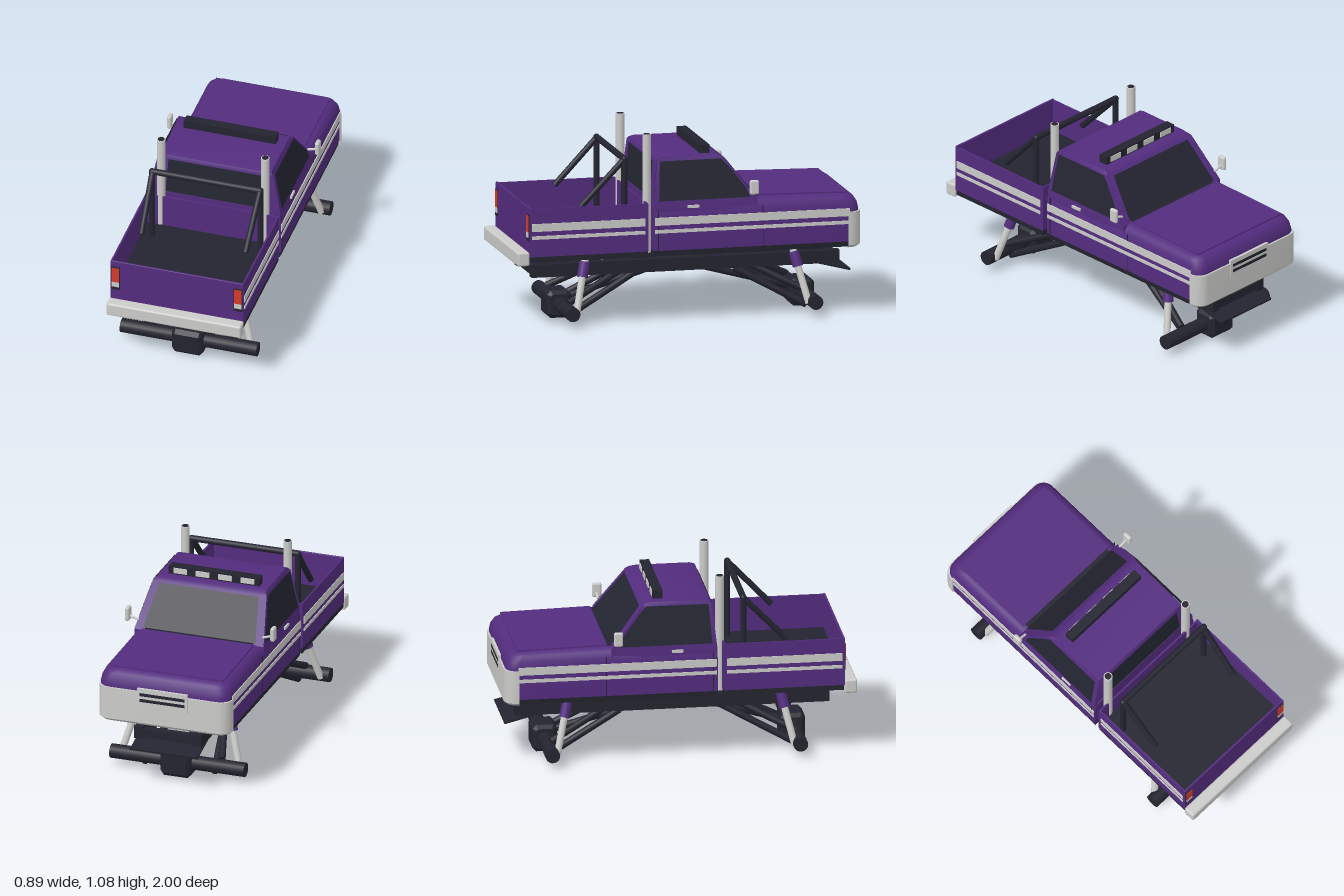
import * as THREE from 'three';
import { toCreasedNormals } from 'three/addons/utils/BufferGeometryUtils.js';
import { RoundedBoxGeometry } from 'three/addons/geometries/RoundedBoxGeometry.js';

const mat = (name, color) => Object.assign(new THREE.MeshStandardMaterial({ color }), { name });

export function createModel() {
  const root = new THREE.Group();
  root.name = 'pickupTruck';
  const purple = mat('purplePaint', 0x532c7e);
  const dark = mat('darkTrim', 0x242430);
  const silver = mat('silver', 0xcbcbc9);
  const red = mat('redLens', 0xd23c2c);
  const glass = mat('darkGlass', 0x232531);
  glass.side = THREE.DoubleSide;

  const add = (name, geo, m) => {
    const mesh = new THREE.Mesh(geo, m);
    mesh.name = name;
    root.add(mesh);
    return mesh;
  };
  // Box from its minimum and maximum on each axis
  const box = (name, m, x0, x1, y0, y1, z0, z1, r = 0) => {
    const s = [x1 - x0, y1 - y0, z1 - z0];
    const g = r ? new RoundedBoxGeometry(...s, 3, r) : new THREE.BoxGeometry(...s);
    g.translate((x0 + x1) / 2, (y0 + y1) / 2, (z0 + z1) / 2);
    return add(name, g, m);
  };
  // Round bar between two points
  const bar = (name, m, a, b, r, open = false) => {
    const p = new THREE.Vector3(...a), q = new THREE.Vector3(...b);
    const mesh = add(name, new THREE.CylinderGeometry(r, r, p.distanceTo(q), 18, 1, open), m);
    mesh.position.copy(p).lerp(q, 0.5);
    mesh.quaternion.setFromUnitVectors(new THREE.Vector3(0, 1, 0), q.sub(p).normalize());
    return mesh;
  };
  const quad = (name, m, pts) => {
    const g = new THREE.BufferGeometry();
    g.setAttribute('position', new THREE.Float32BufferAttribute(pts.flat(), 3));
    g.setIndex([0, 1, 2, 0, 2, 3]);
    g.computeVertexNormals();
    return add(name, g, m);
  };

  // Nose-rounded plan outline, inset at the sides and front
  const outline = (w, back, front, r) => {
    const half = [[w, back]];
    for (let i = 0; i <= 6; i++) {
      const t = (i / 6) * Math.PI / 2;
      half.push([w - r + r * Math.cos(t), front + r - r * Math.sin(t)]);
    }
    return [...half, ...half.slice().reverse().map(([x, z]) => [-x, z])];
  };
  // Stack of outlines; each level is [y, inset]
  const loft = (name, m, levels, w, back, front, slope = 0) => {
    const rings = levels.map(([, i]) => outline(w - i, back, front + i * 1.25, 0.07));
    const n = rings[0].length, pos = [], idx = [];
    rings.forEach((ring, k) => ring.forEach(([x, z]) => {
      const drop = levels[k][0] > 0.64 ? slope * Math.max(0, (-z - 0.4) / 0.55) : 0;
      pos.push(x, levels[k][0] - drop, z);
    }));
    for (let k = 0; k < rings.length - 1; k++) {
      for (let i = 0; i < n; i++) {
        const a = k * n + i, b = k * n + (i + 1) % n;
        idx.push(a, b, b + n, a, b + n, a + n);
      }
    }
    const top = (rings.length - 1) * n;
    for (let i = 1; i < n - 1; i++) idx.push(top, top + i, top + i + 1, 0, i + 1, i);
    const g = new THREE.BufferGeometry();
    g.setAttribute('position', new THREE.Float32BufferAttribute(pos, 3));
    g.setIndex(idx);
    return add(name, toCreasedNormals(g, 0.6), m);
  };

  // Lower cab, hood, sill and front bumper
  loft('cabBody', purple, [[0.42, 0], [0.6, 0], [0.65, 0.006], [0.68, 0.02], [0.695, 0.04], [0.7, 0.055]], 0.39, 0.21, -0.985, 0.012);
  loft('cabSill', dark, [[0.39, 0.006], [0.425, 0.002]], 0.39, 0.21, -0.985);
  loft('frontBumper', silver, [[0.385, 0.012], [0.4, 0], [0.59, 0]], 0.396, -0.915, -0.995);
  const hood = box('hoodPanel', purple, -0.335, 0.335, -0.004, 0.004, -0.255, 0.255);
  hood.position.set(0, 0.697, -0.665);
  hood.rotation.x = -0.022;
  hood.geometry.center();
  box('grillePanel', silver, -0.15, 0.15, 0.5, 0.61, -0.999, -0.97);
  for (const y of [0.54, 0.575]) box('grilleSlot', dark, -0.135, 0.135, y - 0.009, y + 0.009, -1, -0.99);

  // Tapered upper cab
  const widthAt = (y) => 0.385 - 0.05 * THREE.MathUtils.clamp((y - 0.69) / 0.25, 0, 1);
  const profile = (pts) => new THREE.Shape(pts.map(([z, y]) => new THREE.Vector2(-z, y)));
  const cab = new THREE.ExtrudeGeometry(profile([
    [0.208, 0.62], [0.206, 0.69], [0.186, 0.92], [0.178, 0.935], [0.15, 0.942],
    [-0.16, 0.942], [-0.19, 0.937], [-0.21, 0.922], [-0.39, 0.69], [-0.39, 0.62],
  ]), { depth: 2, bevelEnabled: false });
  cab.translate(0, 0, -1).rotateY(Math.PI / 2);
  const cp = cab.attributes.position;
  for (let i = 0; i < cp.count; i++) {
    const y = cp.getY(i);
    cp.setX(i, Math.sign(cp.getX(i)) * (widthAt(y) - (y > 0.93 ? 0.012 : 0)));
  }
  add('upperCab', toCreasedNormals(cab, 0.6), purple);

  // Windows
  quad('windshield', glass, [[-0.335, 0.703, -0.387], [-0.295, 0.915, -0.222], [0.295, 0.915, -0.222], [0.335, 0.703, -0.387]]);
  box('cowl', dark, -0.32, 0.32, 0.69, 0.704, -0.412, -0.38);
  quad('rearWindow', glass, [[-0.285, 0.705, 0.209], [0.285, 0.705, 0.209], [0.275, 0.915, 0.191], [-0.275, 0.915, 0.191]]);
  for (const s of [1, -1]) {
    const g = new THREE.ShapeGeometry(profile([[0.18, 0.702], [0.165, 0.922], [-0.19, 0.922], [-0.225, 0.885], [-0.325, 0.755], [-0.345, 0.702]]));
    g.rotateY(Math.PI / 2);
    const p = g.attributes.position;
    for (let i = 0; i < p.count; i++) p.setX(i, s * (widthAt(p.getY(i)) + 0.004));
    g.computeVertexNormals();
    add('sideWindow', g, glass);
  }

  // Roof light bar
  box('lightBar', dark, -0.27, 0.27, 0.94, 0.99, -0.14, -0.085);
  for (const x of [-0.2, -0.067, 0.067, 0.2]) box('roofLamp', silver, x - 0.04, x + 0.04, 0.95, 0.982, -0.145, -0.138);

  // Cargo bed
  box('bedFloor', dark, -0.385, 0.385, 0.425, 0.5, 0.25, 0.92);
  box('bedBase', dark, -0.387, 0.387, 0.39, 0.425, 0.245, 0.925);
  box('bedFrontWall', purple, -0.39, 0.39, 0.42, 0.695, 0.243, 0.253);
  box('tailgate', purple, -0.39, 0.39, 0.42, 0.7, 0.918, 0.93, 0.004);
  box('rearBumper', silver, -0.395, 0.395, 0.37, 0.45, 0.93, 1, 0.012);

  for (const s of [1, -1]) {
    // Box mirrored by side
    const sideBox = (name, m, x0, x1, ...rest) =>
      box(name, m, Math.min(s * x0, s * x1), Math.max(s * x0, s * x1), ...rest);
    sideBox('bedSide', purple, 0.38, 0.39, 0.42, 0.695, 0.243, 0.93);

    // Side stripes, seams and handle
    for (const [y0, y1] of [[0.565, 0.61], [0.52, 0.54]]) {
      sideBox('bedStripe', silver, 0.388, 0.394, y0, y1, 0.262, 0.916);
      sideBox('cabStripe', silver, 0.388, 0.394, y0, y1, -0.92, 0.205);
    }
    for (const z of [-0.42, 0.185]) sideBox('doorSeam', dark, 0.386, 0.3915, 0.425, 0.65, z - 0.002, z + 0.002);
    sideBox('doorHandle', silver, 0.38, 0.393, 0.657, 0.673, -0.05, 0.015);

    // Tail lights
    sideBox('tailLightFrame', dark, 0.332, 0.386, 0.51, 0.662, 0.928, 0.934);
    sideBox('brakeLens', red, 0.338, 0.38, 0.562, 0.656, 0.932, 0.938);
    sideBox('reverseLens', silver, 0.338, 0.38, 0.53, 0.56, 0.932, 0.938);

    // Mirrors
    sideBox('mirrorHead', silver, 0.42, 0.446, 0.724, 0.808, -0.385, -0.332, 0.012);
    bar('mirrorArm', silver, [s * 0.37, 0.735, -0.36], [s * 0.425, 0.752, -0.36], 0.007);

    // Exhaust stacks
    bar('exhaustStack', silver, [s * 0.305, 0.4, 0.232], [s * 0.305, 1.075, 0.232], 0.025);
    bar('stackOpening', dark, [s * 0.305, 1.07, 0.232], [s * 0.305, 1.077, 0.232], 0.019);

    // Roll bar legs and braces
    bar('rollBarLeg', dark, [s * 0.318, 0.5, 0.365], [s * 0.318, 0.94, 0.365], 0.017);
    bar('rollBarBrace', dark, [s * 0.315, 0.94, 0.365], [s * 0.305, 0.68, 0.612], 0.017);
    add('rollBarCorner', new THREE.SphereGeometry(0.018, 16, 12), dark).position.set(s * 0.318, 0.942, 0.365);

    // Frame rails
    sideBox('frameRail', dark, 0.15, 0.2, 0.262, 0.335, -0.91, 0.87);

    // Suspension at both axles
    for (const d of [1, -1]) {
      const at = (x, y, z) => [s * x, y, -0.022 + d * (z + 0.022)];
      const low = at(0.352, 0.07, 0.65), top = at(0.262, 0.385, 0.575);
      const mix = (t) => low.map((v, i) => v + (top[i] - v) * t);
      bar('shock', silver, low, top, 0.02);
      bar('shockSleeve', purple, mix(0.64), mix(0.9), 0.03);
      bar('lowerLink', dark, at(0.14, 0.25, 0.27), at(0.21, 0.035, 0.67), 0.02);
      bar('upperLink', dark, at(0.16, 0.27, 0.36), at(0.255, 0.12, 0.67), 0.02);
    }
  }
  bar('rollBarTop', dark, [-0.318, 0.942, 0.365], [0.318, 0.942, 0.365], 0.018);

  // Frame cross members and front skid plate
  for (const z of [-0.88, -0.6, -0.3, 0, 0.3, 0.58, 0.84]) box('crossMember', dark, -0.16, 0.16, 0.272, 0.32, z - 0.025, z + 0.025);
  const skid = box('skidPlate', dark, -0.2, 0.2, -0.006, 0.006, -0.1, 0.1);
  skid.position.set(0, 0.245, -0.875);
  skid.rotation.x = -0.25;

  // Axles, differentials and drive shafts
  box('transferCase', dark, -0.08, 0.08, 0.245, 0.32, -0.12, 0.1, 0.015);
  for (const z of [0.68, -0.725]) {
    bar('axle', dark, [-0.4, 0.08, z], [0.4, 0.08, z], 0.041);
    const c = 0.022, a = 0.07, h = 0.078;
    const diff = new THREE.ExtrudeGeometry(new THREE.Shape([
      [-a + c, -h], [a - c, -h], [a, -h + c], [a, h - c], [a - c, h], [-a + c, h], [-a, h - c], [-a, -h + c],
    ].map(([u, v]) => new THREE.Vector2(u, v))), { depth: 0.14, bevelSize: 0.02, bevelThickness: 0.02, bevelOffset: -0.02, bevelSegments: 1 });
    diff.translate(0, 0, -0.07).rotateY(Math.PI / 2);
    add('differential', diff, dark).position.set(0, 0.078, z);
    bar('driveShaft', dark, [0, 0.265, Math.sign(z) * 0.08], [0, 0.1, z - Math.sign(z) * 0.04], 0.02);
  }
  return root;
}
